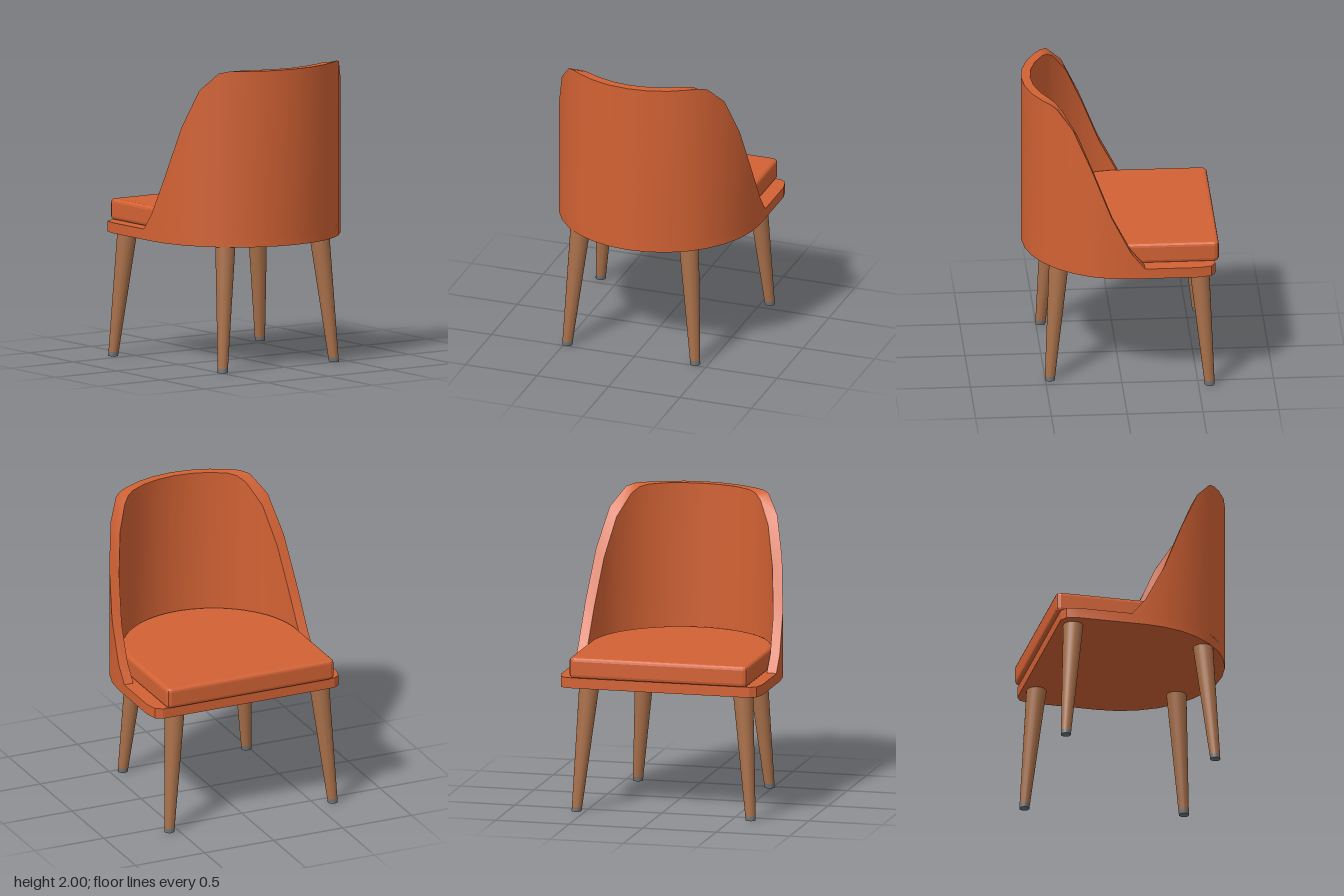
import * as THREE from 'three';
import { toCreasedNormals } from 'three/addons/utils/BufferGeometryUtils.js';

const fabric = new THREE.MeshStandardMaterial({ name: 'orange upholstery', color: 0xd26234 });
const wood = new THREE.MeshStandardMaterial({ name: 'brown wood', color: 0xa9704a });
const grey = new THREE.MeshStandardMaterial({ name: 'grey glide', color: 0x707274 });

const CENTER_Z = -0.05; // where the straight sides turn into the curved back
const PLATE_BOTTOM = 0.83, PLATE_TOP = 0.9;

function add(parent, name, geometry, material) {
  const mesh = new THREE.Mesh(geometry, material);
  mesh.name = name;
  parent.add(mesh);
  return mesh;
}

// point on the curved back: 90 degrees is the +x side, 0 the middle of the back
function backPoint(degrees, halfWidth, depth) {
  const t = THREE.MathUtils.degToRad(degrees);
  return new THREE.Vector2(halfWidth * Math.sin(t), CENTER_Z + depth * Math.cos(t));
}

// D-shaped plan: curved back closed by front corner points (listed for the +x side)
function planShape(halfWidth, depth, steps, corner) {
  const points = [];
  for (let i = 0; i <= steps; i++) points.push(backPoint(90 - 180 * i / steps, halfWidth, depth));
  for (const [x, z] of corner) points.push(new THREE.Vector2(-x, z));
  for (const [x, z] of [...corner].reverse()) points.push(new THREE.Vector2(x, z));
  return new THREE.Shape(points);
}

// height of the backrest rim along z
const RIM = [[-0.14, 0.902], [-0.02, 1.05], [0.05, 1.19], [0.2, 1.58], [0.31, 1.84],
  [0.38, 1.94], [0.43, 1.985], [0.475, 2]];
function rimHeight(z) {
  if (z <= RIM[0][0]) return RIM[0][1];
  for (let i = 1; i < RIM.length; i++) {
    const [z0, y0] = RIM[i - 1], [z1, y1] = RIM[i];
    if (z <= z1) return THREE.MathUtils.mapLinear(z, z0, z1, y0, y1);
  }
  return 2;
}

// curved wall of even thickness with a sloping rim
function shellGeometry() {
  const half = [78.75, 67.5, 56.25, 45, 39.4, 33.75, 22.5, 11.25];
  const angles = [90, ...half, 0, ...half.map((a) => -a).reverse(), -90];
  const columns = angles.map((a) => [backPoint(a, 0.685, 0.68), backPoint(a, 0.62, 0.62)]);
  const end = (s) => [new THREE.Vector2(s * 0.685, -0.14), new THREE.Vector2(s * 0.62, -0.14)];
  columns.unshift(end(1));
  columns.push(end(-1));

  const positions = [], index = [];
  for (const [outer, inner] of columns) {
    positions.push(
      outer.x, PLATE_TOP, outer.y,
      outer.x, rimHeight(outer.y), outer.y,
      inner.x, rimHeight(inner.y), inner.y,
      inner.x, PLATE_TOP, inner.y);
  }
  for (let i = 0; i < columns.length - 1; i++) {
    for (let j = 0; j < 3; j++) {
      const a = i * 4 + j, b = a + 4;
      index.push(b, a, a + 1, b, a + 1, b + 1);
    }
  }
  const geometry = new THREE.BufferGeometry();
  geometry.setAttribute('position', new THREE.Float32BufferAttribute(positions, 3));
  geometry.setIndex(index);
  return toCreasedNormals(geometry, 0.7);
}

// tapered round post between two heights, leaning along the line from foot to top
function legSection(foot, top, y0, y1) {
  const FULL = 0.85;
  const radius = (y) => THREE.MathUtils.lerp(0.033, 0.067, y / FULL);
  const geometry = new THREE.CylinderGeometry(radius(y1), radius(y0), y1 - y0, 24);
  geometry.translate(0, (y0 + y1) / 2, 0);
  const p = geometry.attributes.position;
  for (let i = 0; i < p.count; i++) {
    const f = p.getY(i) / FULL;
    p.setX(i, p.getX(i) + THREE.MathUtils.lerp(foot[0], top[0], f));
    p.setZ(i, p.getZ(i) + THREE.MathUtils.lerp(foot[1], top[1], f));
  }
  geometry.computeVertexNormals();
  return toCreasedNormals(geometry, 0.7);
}

export function createModel() {
  const chair = new THREE.Group();
  chair.name = 'chair';

  // flat plate under the seat
  const plate = new THREE.ExtrudeGeometry(
    planShape(0.685, 0.68, 16, [[0.685, -0.5], [0.665, -0.58], [0.62, -0.608]]),
    { depth: PLATE_TOP - PLATE_BOTTOM, bevelEnabled: false });
  plate.rotateX(Math.PI / 2).translate(0, PLATE_TOP, 0);
  add(chair, 'seatPlate', toCreasedNormals(plate, 0.4), fabric);

  // wraparound backrest
  add(chair, 'backrest', shellGeometry(), fabric);

  // cushion with rounded edges
  const bevel = 0.025;
  const cushion = new THREE.ExtrudeGeometry(
    planShape(0.607, 0.612, 32, [[0.607, -0.605], [0.598, -0.626], [0.577, -0.635]]),
    { depth: 0.14 - 2 * bevel, bevelThickness: bevel, bevelSize: bevel, bevelOffset: -bevel, bevelSegments: 3 });
  cushion.rotateX(Math.PI / 2).translate(-0.007, 1.04 - bevel, 0);
  add(chair, 'seatCushion', toCreasedNormals(cushion, 0.22), fabric);

  // splayed legs with grey glides, set slightly towards -x
  const legs = new THREE.Group();
  legs.name = 'legs';
  legs.position.x = -0.032;
  chair.add(legs);
  for (const side of [1, -1]) {
    for (const [name, foot, top] of [
      ['frontLeg', [0.592, -0.575], [0.522, -0.508]],
      ['backLeg', [0.448, 0.47], [0.378, 0.402]],
    ]) {
      const leg = new THREE.Group();
      leg.name = name;
      legs.add(leg);
      const a = [side * foot[0], foot[1]], b = [side * top[0], top[1]];
      add(leg, 'post', legSection(a, b, 0.03, 0.85), wood);
      add(leg, 'glide', legSection(a, b, 0, 0.03), grey);
    }
  }
  return chair;
}
